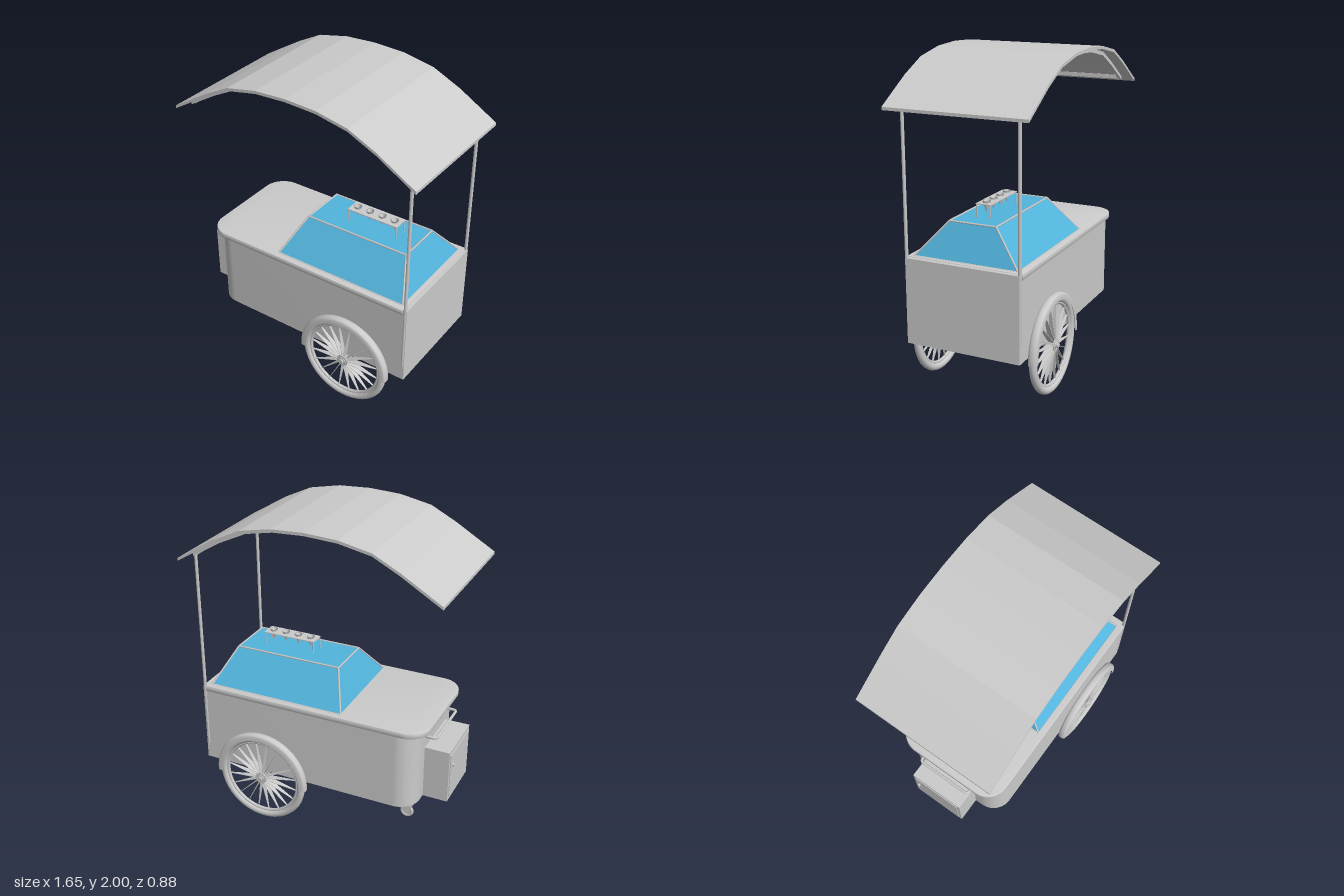
import * as THREE from 'three';
import { toCreasedNormals } from 'three/addons/utils/BufferGeometryUtils.js';

const grey = new THREE.MeshStandardMaterial({ color: 0xcccccc });
const greyBoth = new THREE.MeshStandardMaterial({ color: 0xcccccc, side: THREE.DoubleSide });
const glass = new THREE.MeshStandardMaterial({ color: 0x52b4dc });

const V = (x, y, z) => new THREE.Vector3(x, y, z);

function add(parent, name, geometry, material = grey, x = 0, y = 0, z = 0) {
  const mesh = new THREE.Mesh(geometry, material);
  mesh.name = name;
  mesh.position.set(x, y, z);
  parent.add(mesh);
  return mesh;
}

function box(parent, name, x0, x1, y0, y1, z0, z1, material = grey) {
  return add(parent, name, new THREE.BoxGeometry(x1 - x0, y1 - y0, z1 - z0), material,
    (x0 + x1) / 2, (y0 + y1) / 2, (z0 + z1) / 2);
}

// Straight round bar between two points
function rod(parent, name, a, b, r, sides = 10) {
  const dir = b.clone().sub(a);
  const mesh = add(parent, name, new THREE.CylinderGeometry(r, r, dir.length(), sides));
  mesh.position.copy(a).lerp(b, 0.5);
  mesh.quaternion.setFromUnitVectors(V(0, 1, 0), dir.normalize());
  return mesh;
}

function group(parent, name) {
  const g = new THREE.Group();
  g.name = name;
  parent.add(g);
  return g;
}

// Upright slab with the two -x corners rounded
function roundedSlab(x0, x1, halfZ, radius, y0, y1, bevel = 0) {
  const s = new THREE.Shape();
  const h = halfZ - bevel, l = x0 + bevel, e = x1 - bevel;
  s.moveTo(e, -h);
  s.lineTo(e, h);
  s.lineTo(l + radius, h);
  s.absarc(l + radius, h - radius, radius, Math.PI / 2, Math.PI, false);
  s.absarc(l + radius, -h + radius, radius, Math.PI, Math.PI * 1.5, false);
  const g = new THREE.ExtrudeGeometry(s, {
    depth: y1 - y0 - 2 * bevel, curveSegments: 10,
    bevelEnabled: bevel > 0, bevelSize: bevel, bevelThickness: bevel, bevelSegments: 2,
  });
  g.rotateX(-Math.PI / 2).translate(0, y0 + bevel, 0);
  return toCreasedNormals(g, 0.6);
}

// Arched strip following a line of [x, y] points, thickness measured downwards
function archStrip(points, thickness, z0, z1) {
  const s = new THREE.Shape();
  points.forEach(([x, y], i) => (i ? s.lineTo(x, y) : s.moveTo(x, y)));
  [...points].reverse().forEach(([x, y]) => s.lineTo(x, y - thickness));
  return new THREE.ExtrudeGeometry(s, { depth: z1 - z0, bevelEnabled: false }).translate(0, 0, z0);
}

function buildWheel(parent, side) {
  const wheel = group(parent, side > 0 ? 'frontWheel' : 'backWheel');
  wheel.position.set(0.353, 0.303, side * 0.378);
  add(wheel, 'tyre', new THREE.TorusGeometry(0.274, 0.024, 12, 48));
  add(wheel, 'rim', new THREE.TorusGeometry(0.248, 0.011, 8, 48));
  // Hub with a stepped cap
  add(wheel, 'hub', new THREE.CylinderGeometry(0.026, 0.026, 0.06, 16).rotateX(Math.PI / 2));
  for (const s of [-1, 1]) {
    add(wheel, 'hubFlange', new THREE.CylinderGeometry(0.038, 0.038, 0.008, 16).rotateX(Math.PI / 2),
      grey, 0, 0, s * 0.021);
  }
  add(wheel, 'hubCap', new THREE.CylinderGeometry(0.016, 0.016, 0.08, 12).rotateX(Math.PI / 2));
  // Thin spoke blades, wide at the hub and narrow at the rim
  const blade = new THREE.Shape([
    new THREE.Vector2(0.025, -0.023), new THREE.Vector2(0.245, -0.004),
    new THREE.Vector2(0.245, 0.004), new THREE.Vector2(0.025, 0.023),
  ]);
  const bladeGeometry = new THREE.ExtrudeGeometry(blade, { depth: 0.003, bevelEnabled: false })
    .translate(0, 0, -0.0015).rotateX(Math.PI / 2);
  for (let i = 0; i < 20; i++) {
    add(wheel, 'spoke', bladeGeometry).rotation.z = (i + 0.5) * Math.PI / 10;
  }
  // Mudguard over the upper half
  const profile = [[0.272, -0.027], [0.298, -0.027], [0.308, -0.02], [0.312, -0.008],
    [0.312, 0.008], [0.308, 0.02], [0.298, 0.027], [0.272, 0.027]]
    .map(([r, y]) => new THREE.Vector2(r, y));
  const guard = new THREE.LatheGeometry(profile, 32, Math.PI / 2 - 0.05, Math.PI + 0.1);
  add(wheel, 'mudguard', guard.rotateX(Math.PI / 2), greyBoth, 0, 0, side * 0.006);
}

function buildDisplay(parent) {
  const display = group(parent, 'glassDisplay');
  const lower = { x0: -0.168, x1: 0.715, y: 0.858, z: 0.328 };
  const upper = { x0: -0.07, x1: 0.618, y: 1.064, z: 0.148 };
  // Box tapered to the corner positions
  const g = new THREE.BoxGeometry(1, 1, 1);
  const p = g.attributes.position;
  for (let i = 0; i < p.count; i++) {
    const c = p.getY(i) > 0 ? upper : lower;
    p.setXYZ(i, p.getX(i) > 0 ? c.x1 : c.x0, c.y, Math.sign(p.getZ(i)) * c.z);
  }
  g.computeVertexNormals();
  add(display, 'glass', g, glass);
  // Frame bars along every edge
  const ring = (c) => [V(c.x0, c.y, c.z), V(c.x1, c.y, c.z), V(c.x1, c.y, -c.z), V(c.x0, c.y, -c.z)];
  const lo = ring(lower), up = ring(upper);
  for (let i = 0; i < 4; i++) {
    rod(display, 'frameBar', lo[i], lo[(i + 1) % 4], 0.006, 6);
    rod(display, 'frameBar', up[i], up[(i + 1) % 4], 0.006, 6);
    rod(display, 'frameBar', lo[i], up[i], 0.006, 6);
  }
}

function buildConeRack(parent) {
  const rack = group(parent, 'coneRack');
  rack.position.set(0.317, 1.064, 0);
  const plate = new THREE.Shape([[-0.172, -0.048], [0.172, -0.048], [0.172, 0.048], [-0.172, 0.048]]
    .map(([x, y]) => new THREE.Vector2(x, y)));
  const xs = [-0.129, -0.043, 0.043, 0.129];
  for (const x of xs) plate.holes.push(new THREE.Path().absarc(x, 0, 0.022, 0, Math.PI * 2, true));
  const g = new THREE.ExtrudeGeometry(plate, { depth: 0.006, bevelEnabled: false, curveSegments: 8 });
  add(rack, 'rackPlate', g.rotateX(-Math.PI / 2), grey, 0, 0.076, 0);
  for (const x of [-0.167, 0.167]) for (const z of [-0.044, 0.044]) {
    rod(rack, 'rackLeg', V(x, 0, z), V(x, 0.078, z), 0.004, 8);
  }
  const cone = new THREE.LatheGeometry([[0, 0.022], [0.025, 0.092], [0.019, 0.092], [0, 0.04]]
    .map(([r, y]) => new THREE.Vector2(r, y)), 12);
  for (const x of xs) add(rack, 'cone', cone, greyBoth, x, 0, 0);
}

function buildCanopy(parent) {
  const canopy = group(parent, 'canopy');
  const arch = [[-0.805, 1.722], [-0.56, 1.868], [-0.4, 1.95], [-0.2, 1.99], [0, 2],
    [0.2, 1.99], [0.4, 1.95], [0.575, 1.868], [0.82, 1.722]];
  add(canopy, 'canopySheet', archStrip(arch, 0.018, -0.44, 0.44));
  // Supporting frame below the sheet
  const ribs = arch.map(([x, y]) => [x, y - 0.017]);
  ribs[0] = [-0.745, 1.742];
  ribs[8] = [0.76, 1.742];
  for (const z of [-0.36, 0.36]) add(canopy, 'canopyRib', archStrip(ribs, 0.024, z - 0.01, z + 0.01));
  for (const x of [-0.735, 0.75]) box(canopy, 'canopyCrossbar', x - 0.01, x + 0.01, 1.724, 1.748, -0.36, 0.36);
  for (const z of [-0.356, 0.356]) rod(canopy, 'canopyPole', V(0.75, 0.44, z), V(0.75, 1.745, z), 0.01);
}

function buildCaster(parent) {
  const caster = group(parent, 'caster');
  box(caster, 'casterMount', -0.615, -0.465, 0.265, 0.34, -0.105, 0.105);
  // Cranked stem
  const stem = new THREE.CurvePath();
  const pts = [V(-0.54, 0.27, 0), V(-0.54, 0.2, 0), V(-0.525, 0.182, 0), V(-0.5, 0.18, 0),
    V(-0.485, 0.163, 0), V(-0.485, 0.1, 0)];
  for (let i = 0; i < 5; i++) {
    stem.add(new THREE.LineCurve3(pts[i], pts[i + 1]));
  }
  add(caster, 'casterStem', new THREE.TubeGeometry(stem, 36, 0.011, 8));
  // Fork cheeks and crown
  const cheek = new THREE.Shape([[-0.042, 0.1], [0.042, 0.1], [0.014, 0.045], [-0.014, 0.045]]
    .map(([x, y]) => new THREE.Vector2(x, y)));
  const cheekGeometry = new THREE.ExtrudeGeometry(cheek, { depth: 0.004, bevelEnabled: false });
  for (const z of [-0.018, 0.014]) add(caster, 'casterFork', cheekGeometry, grey, -0.485, 0, z);
  box(caster, 'forkCrown', -0.51, -0.46, 0.1, 0.108, -0.018, 0.018);
  add(caster, 'casterWheel', new THREE.TorusGeometry(0.034, 0.011, 8, 24), grey, -0.487, 0.052, 0);
  add(caster, 'casterDisc', new THREE.CylinderGeometry(0.03, 0.03, 0.014, 20).rotateX(Math.PI / 2), grey, -0.487, 0.052, 0);
  rod(caster, 'casterAxle', V(-0.487, 0.052, -0.021), V(-0.487, 0.052, 0.021), 0.009);
}

function buildRearBox(parent) {
  const locker = group(parent, 'endLocker');
  box(locker, 'lockerBody', -0.806, -0.64, 0.335, 0.678, -0.18, 0.18);
  box(locker, 'lockerDoor', -0.811, -0.8, 0.36, 0.65, -0.16, 0.16);
  rod(locker, 'knobStem', V(-0.805, 0.578, -0.135), V(-0.822, 0.578, -0.135), 0.005);
  rod(locker, 'knob', V(-0.817, 0.578, -0.135), V(-0.827, 0.578, -0.135), 0.011, 12);
  // Push handle
  const handle = new THREE.CatmullRomCurve3([V(-0.64, 0.758, -0.18), V(-0.7, 0.758, -0.18),
    V(-0.718, 0.758, -0.165), V(-0.718, 0.758, 0.165), V(-0.7, 0.758, 0.18), V(-0.64, 0.758, 0.18)],
  false, 'catmullrom', 0.1);
  add(locker, 'pushHandle', new THREE.TubeGeometry(handle, 48, 0.009, 8));
}

export function createModel() {
  const cart = new THREE.Group();
  cart.name = 'vendingCart';
  add(cart, 'cartBody', roundedSlab(-0.65, 0.762, 0.36, 0.13, 0.335, 0.855));
  add(cart, 'countertop', roundedSlab(-0.702, 0.738, 0.368, 0.13, 0.822, 0.86, 0.008));
  buildDisplay(cart);
  buildConeRack(cart);
  buildCanopy(cart);
  // Main axle with collars
  rod(cart, 'axle', V(0.353, 0.303, -0.37), V(0.353, 0.303, 0.37), 0.016, 14);
  for (const s of [-1, 1]) {
    rod(cart, 'axleCollar', V(0.353, 0.303, s * 0.32), V(0.353, 0.303, s * 0.352), 0.022, 14);
    buildWheel(cart, s);
  }
  buildCaster(cart);
  buildRearBox(cart);
  return cart;
}
